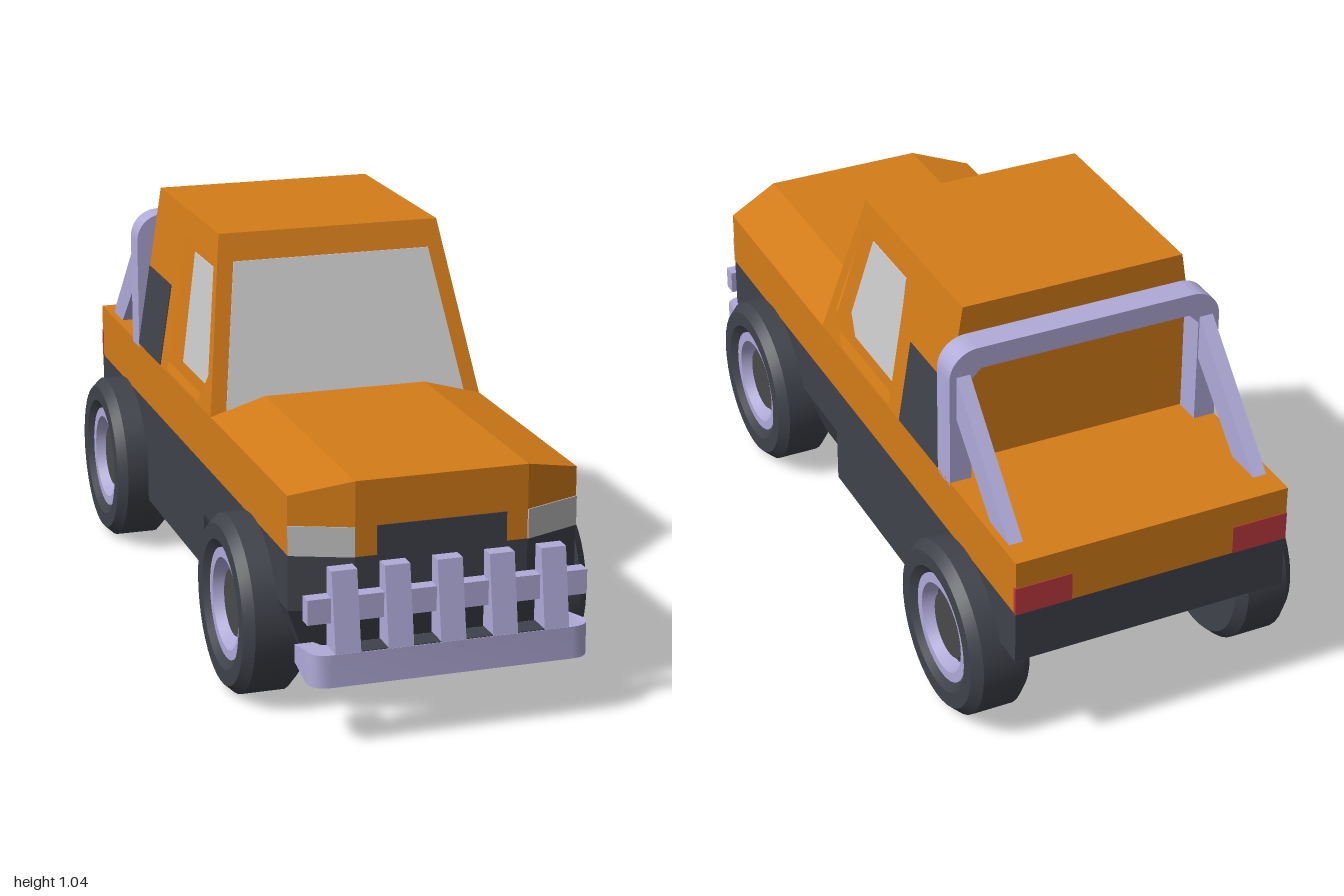
import * as THREE from 'three';
import { ConvexGeometry } from 'three/addons/geometries/ConvexGeometry.js';
import { toCreasedNormals } from 'three/addons/utils/BufferGeometryUtils.js';

const paint = (color) => new THREE.MeshStandardMaterial({ color });
const ORANGE = paint(0xd47c18), DARK = paint(0x3f424a), STEEL = paint(0xb0aad8);
const GLASS = paint(0xcccccc), LAMP = paint(0xbbbbbb), RED = paint(0xc03a3f), HUB = paint(0x4a4a4a);

function add(parent, name, geometry, material) {
  const mesh = new THREE.Mesh(geometry, material);
  mesh.name = name;
  parent.add(mesh);
  return mesh;
}

// Flat-sided solid around corner points [x, y, z]
const hull = (pts) => new ConvexGeometry(pts.map((p) => new THREE.Vector3(...p)));
// Same, with every point mirrored across x = 0
const hullBoth = (pts) => hull(pts.flatMap(([x, y, z]) => [[x, y, z], [-x, y, z]]));

function box(x0, x1, y0, y1, z0, z1) {
  return new THREE.BoxGeometry(x1 - x0, y1 - y0, z1 - z0)
    .translate((x0 + x1) / 2, (y0 + y1) / 2, (z0 + z1) / 2);
}

// Side panel from [z, y] points, filling the space between x = inner(y) and x = outer(y)
function sidePanel(points, inner, outer, hole) {
  const flat = (list) => list.map(([z, y]) => new THREE.Vector2(-z, y));
  const shape = new THREE.Shape(flat(points));
  if (hole) shape.holes.push(new THREE.Path(flat(hole)));
  const g = new THREE.ExtrudeGeometry(shape, { depth: 1, bevelEnabled: false }).rotateY(Math.PI / 2);
  const p = g.attributes.position;
  for (let i = 0; i < p.count; i++) {
    const y = p.getY(i);
    p.setX(i, THREE.MathUtils.lerp(inner(y), outer(y), p.getX(i)));
  }
  g.computeVertexNormals();
  return g;
}

function createWheel() {
  const wheel = new THREE.Group();
  const turned = (name, profile, material) => {
    const g = new THREE.LatheGeometry(profile.map(([r, x]) => new THREE.Vector2(r, x)), 40);
    add(wheel, name, toCreasedNormals(g.rotateZ(-Math.PI / 2), 0.45), material);
  };
  turned('tyre', [[0, -0.08], [0.205, -0.08], [0.228, -0.055], [0.228, 0.055], [0.205, 0.08],
    [0.165, 0.08], [0.138, 0.058]], DARK);
  turned('rim', [[0.142, 0.055], [0.142, 0.066], [0.117, 0.066], [0.107, 0.025]], STEEL);
  turned('wheelDish', [[0.108, 0.027], [0, 0.027]], DARK);
  turned('hub', [[0.095, 0.027], [0.085, 0.045], [0, 0.045]], HUB);
  return wheel;
}

export function createModel() {
  const truck = new THREE.Group();
  truck.name = 'pickupTruck';
  const body = new THREE.Group();
  body.name = 'body';
  body.position.x = 0.004;
  truck.add(body);

  // Lower body: a slab with a tapered belly, and sills between the wheels
  const plan = (y) => [[0.37, y, -1], [0.37, y, 0.86], [0.22, y, 0.92]];
  add(body, 'lowerBody', hullBoth([...plan(0.31), ...plan(0.45)]), DARK);
  add(body, 'belly', hullBoth([...plan(0.31),
    [0.31, 0.16, -0.74], [0.31, 0.16, 0.81], [0.2, 0.16, 0.85]]), DARK);
  add(body, 'sills', box(-0.37, 0.37, 0.16, 0.31, -0.48, 0.11), DARK);

  // Upper body and bonnet
  add(body, 'upperBody', hullBoth([...plan(0.45), ...plan(0.6)]), ORANGE);
  add(body, 'bonnet', hullBoth([[0.37, 0.6, 0.86], [0.37, 0.6, 0.18], [0.22, 0.6, 0.92],
    [0.22, 0.64, 0.92], [0.22, 0.64, 0.17]]), ORANGE);

  // Cab core, narrower than its side skins so the doors sit in a recess
  const screenZ = (y) => 0.19 - 0.348 * (y - 0.6);
  const outer = (y) => 0.37 - 0.157 * (y - 0.6);
  const inner = (y) => 0.337 - 0.125 * (y - 0.6);
  const TOP = 1.045, BACK = -0.555;
  add(body, 'cab', hullBoth([0.6, TOP].flatMap((y) =>
    [[inner(y), y, screenZ(y)], [inner(y), y, BACK]])), ORANGE);
  add(body, 'windscreen', hullBoth([[0.327, 0.61], [0.268, 0.975]].flatMap(([x, y]) =>
    [[x, y, screenZ(y) + 0.003], [x, y, screenZ(y) - 0.01]])), GLASS);

  // Grille
  add(body, 'grille', box(-0.165, 0.165, 0.45, 0.525, 0.9, 0.923), DARK);

  // Roll bar
  const bar = new THREE.Shape();
  bar.moveTo(0.37, 0.59);
  bar.lineTo(0.37, 0.895);
  bar.absarc(0.295, 0.895, 0.075, 0, Math.PI / 2, false);
  bar.lineTo(-0.295, 0.97);
  bar.absarc(-0.295, 0.895, 0.075, Math.PI / 2, Math.PI, false);
  bar.lineTo(-0.37, 0.59);
  bar.lineTo(-0.312, 0.59);
  bar.lineTo(-0.312, 0.885);
  bar.lineTo(-0.285, 0.912);
  bar.lineTo(0.285, 0.912);
  bar.lineTo(0.312, 0.885);
  bar.lineTo(0.312, 0.59);
  const barGeometry = new THREE.ExtrudeGeometry(bar, { depth: 0.073, bevelEnabled: false, curveSegments: 8 });
  add(body, 'rollBar', toCreasedNormals(barGeometry.translate(0, 0, -0.629), 0.5), STEEL);

  // Parts on both sides
  for (const side of [1, -1]) {
    const half = new THREE.Group();
    half.name = side > 0 ? 'leftSide' : 'rightSide';
    half.scale.x = side;
    body.add(half);

    add(half, 'cabSide', sidePanel(
      [[screenZ(0.6), 0.6], [screenZ(TOP), TOP], [BACK, TOP], [BACK, 0.6]], inner, outer,
      [[0.12, 0.69], [0.025, 0.98], [-0.25, 0.98], [-0.25, 0.605], [0.06, 0.605]]), ORANGE);
    add(half, 'doorWindow', sidePanel(
      [[0.083, 0.69], [0, 0.94], [-0.21, 0.94], [-0.21, 0.637], [0.045, 0.637]],
      inner, (y) => inner(y) + 0.003), GLASS);
    add(half, 'rearSidePanel', sidePanel(
      [[-0.32, 0.602], [-0.32, 0.825], [BACK, 0.825], [BACK, 0.602]],
      outer, (y) => outer(y) + 0.002), DARK);
    add(half, 'headlight', hull([0.45, 0.525].flatMap((y) =>
      [[0.371, y, 0.863], [0.221, y, 0.923], [0.365, y, 0.85], [0.215, y, 0.91]])), LAMP);
    add(half, 'tailLight', box(0.22, 0.371, 0.45, 0.527, -1.002, -0.99), RED);
    add(half, 'rollBarStrut', sidePanel(
      [[-0.62, 0.91], [-0.62, 0.79], [-0.82, 0.6], [-0.925, 0.6]], () => 0.315, () => 0.352), STEEL);
  }

  // Front guard: bumper, rail and uprights
  const guard = new THREE.Group();
  guard.name = 'frontGuard';
  guard.position.x = 0.008;
  truck.add(guard);
  const hoop = new THREE.Shape();
  hoop.moveTo(0.357, -0.86);
  hoop.lineTo(0.31, -0.86);
  hoop.lineTo(0.31, -0.93);
  hoop.lineTo(-0.31, -0.93);
  hoop.lineTo(-0.31, -0.86);
  hoop.lineTo(-0.357, -0.86);
  hoop.lineTo(-0.357, -0.95);
  hoop.quadraticCurveTo(-0.357, -1, -0.307, -1);
  hoop.lineTo(0.307, -1);
  hoop.quadraticCurveTo(0.357, -1, 0.357, -0.95);
  const bumper = new THREE.ExtrudeGeometry(hoop, { depth: 0.083, bevelEnabled: false, curveSegments: 6 })
    .rotateX(-Math.PI / 2).translate(0, 0.157, 0);
  const p = bumper.attributes.position;
  for (let i = 0; i < p.count; i++) { // arms thin out towards the body
    if (p.getZ(i) < 0.9) p.setY(i, 0.2 + (p.getY(i) - 0.2) * 0.55);
  }
  add(guard, 'bumper', toCreasedNormals(bumper, 0.5), STEEL);
  add(guard, 'bumperPad', box(-0.29, 0.29, 0.235, 0.242, 0.935, 0.998), DARK);
  add(guard, 'guardRail', box(-0.357, 0.357, 0.307, 0.37, 0.925, 0.963), STEEL);
  for (let i = -2; i <= 2; i++) {
    const upright = hullBoth([[0.032, 0.235, 0.93], [0.032, 0.235, 1],
      [0.032, 0.438, 0.928], [0.032, 0.438, 0.966]]);
    add(guard, 'guardUpright', upright, STEEL).position.x = i * 0.133;
  }

  // Wheels
  for (const [z, end] of [[0.56, 'front'], [-0.705, 'rear']]) {
    for (const side of [1, -1]) {
      const wheel = createWheel();
      wheel.name = end + (side > 0 ? 'LeftWheel' : 'RightWheel');
      wheel.position.set(side * 0.37, 0.228, z);
      wheel.rotation.y = side > 0 ? 0 : Math.PI;
      truck.add(wheel);
    }
  }
  return truck;
}
